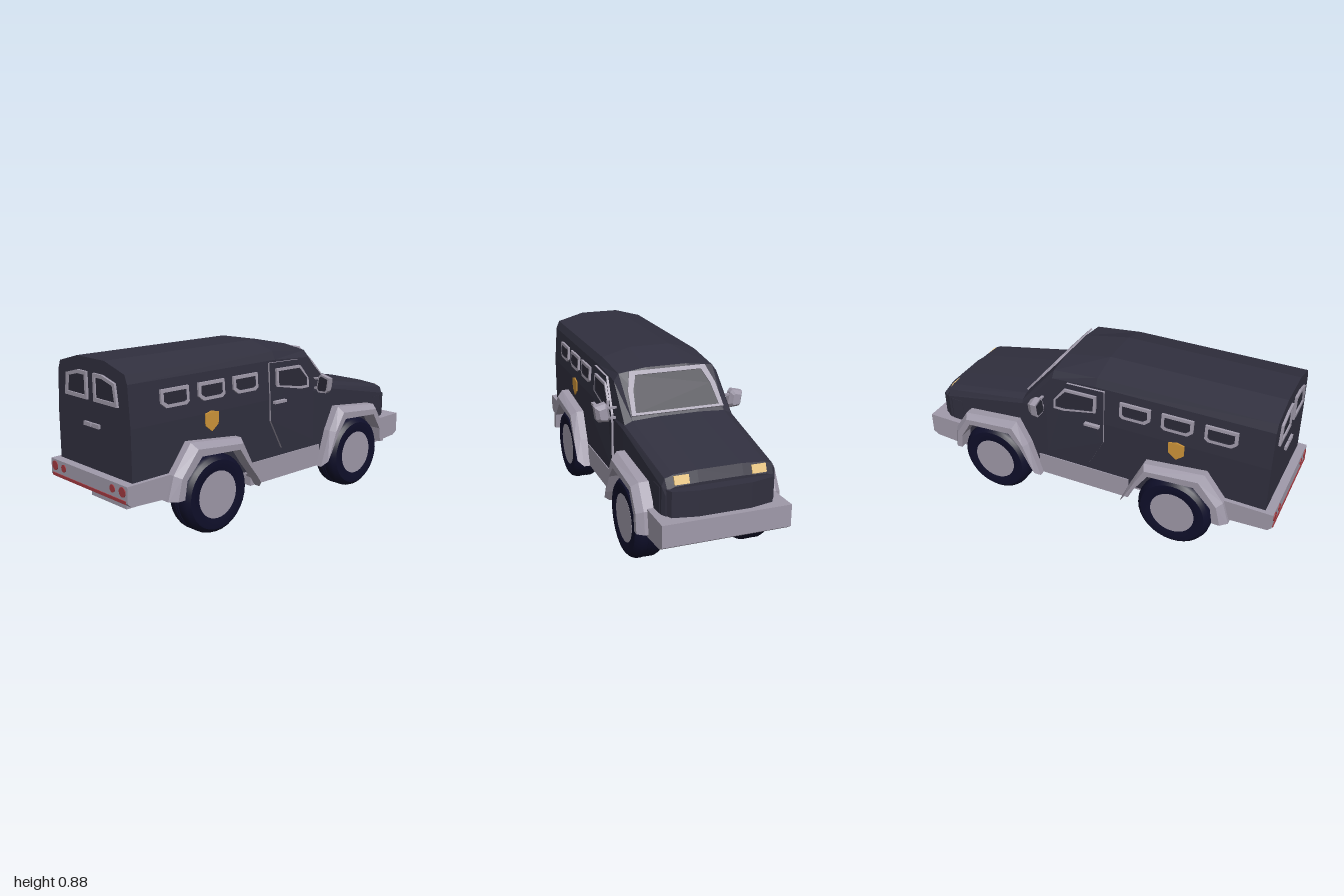
import * as THREE from 'three';
import { toCreasedNormals } from 'three/addons/utils/BufferGeometryUtils.js';

const paint = (name, color) => Object.assign(new THREE.MeshStandardMaterial({ color }), { name });

// Reverse the corner order of a non-indexed geometry
function flip(geo) {
  for (const attr of Object.values(geo.attributes)) {
    const n = attr.itemSize, a = attr.array;
    for (let i = 0; i < a.length; i += 3 * n) {
      for (let k = 0; k < n; k++) [a[i + n + k], a[i + 2 * n + k]] = [a[i + 2 * n + k], a[i + n + k]];
    }
  }
  return geo;
}

function mirrorX(geo) {
  const g = geo.index ? geo.toNonIndexed() : geo.clone();
  g.scale(-1, 1, 1);
  return flip(g);
}

// Flat-shaded solid through closed rings of [x, y, z], faces turned outward
function loft(rings) {
  const pos = [], n = rings[0].length;
  const tri = (...p) => p.forEach(v => pos.push(...v));
  for (let r = 0; r < rings.length - 1; r++) {
    for (let i = 0; i < n; i++) {
      const j = (i + 1) % n, A = rings[r], B = rings[r + 1];
      tri(A[i], A[j], B[j]);
      tri(A[i], B[j], B[i]);
    }
  }
  const first = rings[0], last = rings[rings.length - 1];
  for (let i = 1; i < n - 1; i++) {
    tri(first[0], first[i + 1], first[i]);
    tri(last[0], last[i], last[i + 1]);
  }
  let volume = 0;
  const v = k => new THREE.Vector3().fromArray(pos, k);
  for (let k = 0; k < pos.length; k += 9) volume += v(k).dot(v(k + 3).cross(v(k + 6)));
  const geo = new THREE.BufferGeometry();
  geo.setAttribute('position', new THREE.Float32BufferAttribute(pos, 3));
  if (volume < 0) flip(geo);
  geo.computeVertexNormals();
  return geo;
}

// Flat plate from an outline, with an optional hole
function plate(points, depth, hole) {
  const toVec = p => new THREE.Vector2(p[0], p[1]);
  const shape = new THREE.Shape(points.map(toVec));
  if (hole) shape.holes.push(new THREE.Path(hole.map(toVec)));
  return new THREE.ExtrudeGeometry(shape, { depth, bevelEnabled: false });
}

// Outline shrunk towards its middle by a border width
function inset(points, border) {
  const xs = points.map(p => p[0]), ys = points.map(p => p[1]);
  const mid = a => (Math.min(...a) + Math.max(...a)) / 2;
  const half = a => (Math.max(...a) - Math.min(...a)) / 2;
  const cx = mid(xs), cy = mid(ys), sx = 1 - border / half(xs), sy = 1 - border / half(ys);
  return points.map(([x, y]) => [cx + (x - cx) * sx, cy + (y - cy) * sy]);
}

// Wrap a (z, y) plate onto the right side wall, which leans in above y = 0.6
function onWall(geo, lift = 0) {
  const p = geo.attributes.position;
  for (let i = 0; i < p.count; i++) {
    const y = p.getY(i), wall = 0.295 - 0.075 * Math.max(0, y - 0.6);
    p.setXYZ(i, -(wall + lift + p.getZ(i)), y, p.getX(i));
  }
  geo.computeVertexNormals();
  return geo;
}

export function createModel() {
  const model = new THREE.Group();
  model.name = 'armouredVan';
  const dark = paint('darkBody', 0x31303f), grey = paint('greyTrim', 0xa09aaa);
  const glass = paint('darkGlass', 0x2a2936), rubber = paint('tyreRubber', 0x0f0f2a);
  const red = paint('redLamp', 0xa33a40), gold = paint('goldBadge', 0xd0963a);
  const lamp = paint('headlampGlass', 0xe6c27c);

  const add = (name, geo, mat) => {
    const m = new THREE.Mesh(geo, mat);
    m.name = name;
    model.add(m);
    return m;
  };
  const pair = (name, geo, mat) => {
    add(name + 'Right', geo, mat);
    add(name + 'Left', mirrorX(geo), mat);
  };
  const box = (w, h, d, x, y, z) => new THREE.BoxGeometry(w, h, d).translate(x, y, z);

  // Body shell: half cross-sections from tail to nose
  const sections = [
    [0.955, [[.295, .25], [.295, .6], [.28, .8], [.262, .843], [.11, .885]]],
    [0.03, [[.295, .25], [.295, .6], [.28, .8], [.262, .843], [.11, .885]]],
    [-0.22, [[.295, .25], [.295, .6], [.28, .785], [.255, .82], [.11, .84]]],
    [-0.4, [[.295, .25], [.295, .59], [.285, .61], [.245, .628], [.11, .636]]],
    [-0.89, [[.28, .25], [.28, .49], [.265, .525], [.225, .538], [.11, .546]]],
    [-0.912, [[.268, .25], [.268, .45], [.26, .475], [.225, .488], [.11, .494]]],
  ];
  add('bodyShell', loft(sections.map(([z, half]) => [
    ...half.map(([x, y]) => [x, y, z]),
    ...half.slice().reverse().map(([x, y]) => [-x, y, z]),
  ])), dark);

  // Curved nose below the headlamps
  const nose = [[.285, -.8], [.283, -.87], [.25, -.94], [.13, -.966]];
  const noseOutline = [...nose, ...nose.slice().reverse().map(([x, z]) => [-x, z])];
  add('nose', plate(noseOutline, 0.23).rotateX(Math.PI / 2).translate(0, 0.48, 0), dark);

  // Underside
  add('floor', box(0.58, 0.02, 1.78, 0, 0.245, 0.01), grey);
  add('sill', box(0.6, 0.12, 0.53, 0, 0.23, -0.045), grey);
  add('chassis', box(0.4, 0.08, 1.5, 0, 0.21, -0.1), grey);
  add('rearChassis', box(0.29, 0.075, 0.3, 0, 0.208, 0.735), grey);

  // Bumpers: (z, y) profiles drawn across the width
  const bumper = (name, profile, half) =>
    add(name, loft([-half, half].map(x => profile.map(([z, y]) => [x, y, z]))), grey);
  bumper('rearBumper', [[.72, .355], [1, .35], [1, .27], [.98, .25], [.72, .24]], 0.318);
  bumper('frontBumper', [[-.78, .35], [-1, .355], [-1, .245], [-.97, .225], [-.78, .21]], 0.318);

  // Angular wheel arches: [outer z, y, inner z, y] stations
  const arches = {
    rearFender: [[.785, .23, .71, .23], [.75, .35, .695, .32], [.645, .49, .6, .42],
      [.32, .455, .355, .405], [.25, .31, .29, .31], [.19, .17, .235, .24]],
    frontFender: [[-.83, .23, -.775, .23], [-.815, .34, -.765, .31], [-.74, .455, -.705, .405],
      [-.42, .49, -.455, .42], [-.355, .365, -.395, .35], [-.29, .17, -.335, .24]],
  };
  for (const [name, stations] of Object.entries(arches)) {
    pair(name, loft(stations.map(([oz, oy, iz, iy]) => [
      [-.27, oy, oz], [-.335, oy, oz],
      [-.368, oy + (iy - oy) * 0.45, oz + (iz - oz) * 0.45],
      [-.368, iy, iz], [-.27, iy, iz],
    ])), grey);
  }

  // Wheels: shouldered tyre with tread grooves and a plain disc
  const tyreHalf = [[.118, .07], [.15, .077], [.175, .075], [.192, .06], [.2, .04], [.2, .016], [.196, .012], [.196, .006], [.2, .002]];
  const tyreProfile = [...tyreHalf.map(([r, h]) => [r, -h]), ...tyreHalf.slice().reverse()]
    .map(([r, h]) => new THREE.Vector2(r, h));
  for (const [end, z] of [['front', -0.57], ['rear', 0.49]]) {
    for (const [side, s] of [['Left', 1], ['Right', -1]]) {
      const tyre = toCreasedNormals(new THREE.LatheGeometry(tyreProfile, 32), 0.5);
      add(end + 'Tyre' + side, tyre.rotateZ(Math.PI / 2).translate(s * 0.28, 0.202, z), rubber);
      const rim = new THREE.CylinderGeometry(0.12, 0.12, 0.142, 32).rotateZ(Math.PI / 2);
      add(end + 'Rim' + side, rim.translate(s * 0.28, 0.202, z), grey);
    }
  }

  // Side windows
  const wallWindow = (name, outline, border, lift) => {
    const inner = inset(outline, border);
    pair(name + 'Frame', onWall(plate(outline, 0.012, inner), lift), grey);
    pair(name + 'Glass', onWall(plate(inner, 0.004), lift), glass);
  };
  [0.7, 0.475, 0.25].forEach((z, i) => wallWindow('sideWindow' + (i + 1), [
    [z + .083, .755], [z + .083, .69], [z + .055, .667], [z - .065, .667], [z - .083, .68], [z - .083, .755],
  ], 0.016, 0));

  // Cab doors with pale edges, window and handle
  const door = [[.08, .79], [.08, .49], [-.005, .33], [-.25, .33], [-.247, .62], [-.13, .785]];
  pair('door', onWall(plate(door, 0.012)), [dark, grey]);
  wallWindow('doorWindow',
    [[.04, .758], [.04, .665], [-.14, .63], [-.2, .63], [-.2, .68], [-.14, .755]], 0.014, 0.01);
  pair('doorHandle', box(0.02, 0.014, 0.085, -0.312, 0.585, 0.02), grey);

  // Shield badge
  pair('shieldBadge', onWall(plate([[.52, .6], [.48, .61], [.435, .6], [.437, .54], [.478, .508], [.518, .54]], 0.006)), gold);

  // Windscreen lying on the slope between bonnet and roof
  const screen = [[-.245, .015], [.245, .015], [.235, .15], [.205, .255], [-.205, .255], [-.235, .15]];
  const screenInner = [[-.222, .028], [.222, .028], [.207, .15], [.178, .232], [-.178, .232], [-.207, .15]];
  const slope = new THREE.Matrix4().makeBasis(
    new THREE.Vector3(-1, 0, 0), new THREE.Vector3(0, 0.75, 0.661), new THREE.Vector3(0, 0.661, -0.75));
  slope.setPosition(0, 0.635, -0.4);
  add('windscreenFrame', plate(screen, 0.009, screenInner).applyMatrix4(slope), grey);
  add('windscreenGlass', plate(screenInner, 0.004).applyMatrix4(slope), glass);

  // Rear door windows and handles
  const rearWindow = [[-.027, .82], [-.1, .82], [-.197, .795], [-.213, .687], [-.027, .687]];
  const rearInner = [[-.043, .802], [-.1, .802], [-.18, .782], [-.194, .706], [-.043, .706]];
  pair('rearWindowFrame', plate(rearWindow, 0.014, rearInner).translate(0, 0, 0.953), grey);
  pair('rearWindowGlass', plate(rearInner, 0.006).translate(0, 0, 0.953), glass);
  pair('rearHandle', box(0.056, 0.02, 0.015, -0.033, 0.57, 0.96), grey);

  // Tail lamps and reflector strip
  for (const [name, x, r] of [['outerTailLamp', -0.281, 0.024], ['innerTailLamp', -0.204, 0.019]]) {
    pair(name, new THREE.CylinderGeometry(r, r, 0.008, 20).rotateX(Math.PI / 2).translate(x, 0.318, 1), red);
  }
  add('reflectorStrip', box(0.61, 0.015, 0.008, 0, 0.273, 1), red);

  // Headlamps
  pair('headlamp', new THREE.BoxGeometry(0.072, 0.042, 0.008).rotateX(0.4).translate(-0.19, 0.515, -0.904), lamp);

  // Door mirrors on twin arms
  const mirror = [[-.405, .68], [-.345, .695], [-.332, .68], [-.318, .612], [-.33, .594], [-.385, .598], [-.395, .61]];
  pair('mirrorHousing', loft([[-.255, 0], [-.285, 0.002], [-.31, 0.02]]
    .map(([z, b]) => inset(mirror, b).map(([x, y]) => [x, y, z]))), grey);
  pair('mirrorGlass', plate(inset(mirror, 0.011).reverse(), 0.006).translate(0, 0, -0.257), glass);
  for (const [name, y] of [['upperMirrorArm', 0.665], ['lowerMirrorArm', 0.612]]) {
    pair(name, box(0.08, 0.01, 0.014, -0.305, y, -0.275), grey);
  }

  return model;
}
